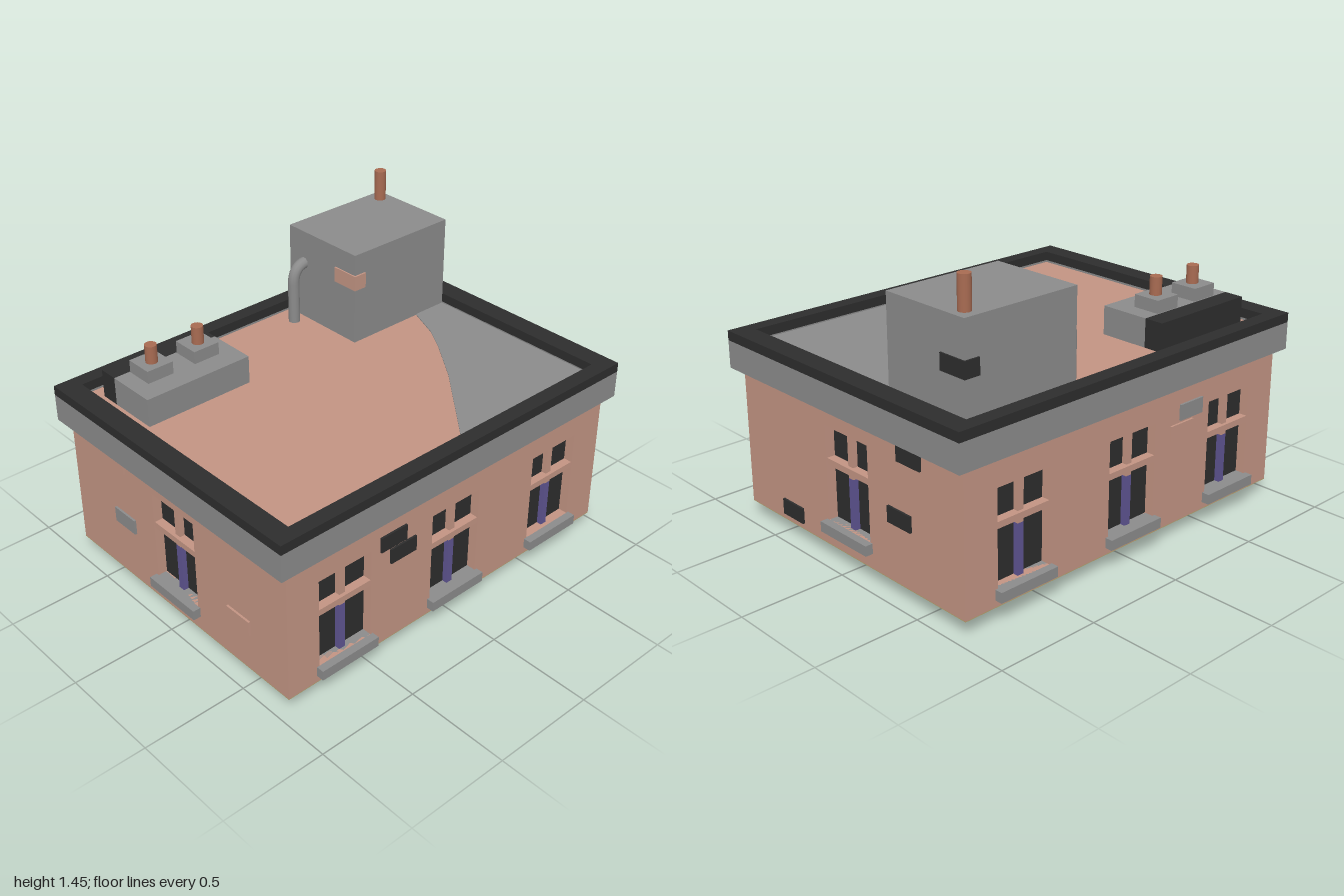
import * as THREE from 'three';

const paint = (name, color) => {
  const m = new THREE.MeshStandardMaterial({ color });
  m.name = name;
  return m;
};

export function createModel() {
  const pink = paint('pink plaster', 0xc29483);
  const gray = paint('gray concrete', 0x8b8b8b);
  const dark = paint('dark trim', 0x2d2d2d);
  const clay = paint('terracotta', 0xa86b52);
  const violet = paint('violet frame', 0x5e5491);
  const tan = paint('tan interior', 0xb5a468);
  const yellow = paint('yellow interior', 0xc9ab20);

  const model = new THREE.Group();
  model.name = 'building';

  const add = (parent, name, geo, mat) => {
    const mesh = new THREE.Mesh(geo, mat);
    mesh.name = name;
    parent.add(mesh);
    return mesh;
  };
  // Box given by its extents along each axis
  const box = (parent, name, mat, x0, x1, y0, y1, z0, z1) => {
    const mesh = add(parent, name, new THREE.BoxGeometry(x1 - x0, y1 - y0, z1 - z0), mat);
    mesh.position.set((x0 + x1) / 2, (y0 + y1) / 2, (z0 + z1) / 2);
    return mesh;
  };
  const rect = (Kind, x0, x1, y0, y1) => {
    const p = new Kind();
    p.moveTo(x0, y0).lineTo(x1, y0).lineTo(x1, y1).lineTo(x0, y1).closePath();
    return p;
  };
  const extrude = (shape, depth) => new THREE.ExtrudeGeometry(shape, { depth, bevelEnabled: false });
  // Flat rectangular ring lying at heights y0..y1
  const ring = (name, mat, ox, oz, ix, iz, y0, y1) => {
    const s = rect(THREE.Shape, -ox, ox, -oz, oz);
    s.holes.push(rect(THREE.Path, -ix, ix, -iz, iz));
    const mesh = add(model, name, extrude(s, y1 - y0), mat);
    mesh.rotation.x = -Math.PI / 2;
    mesh.position.y = y0;
  };

  const Y0 = 0.075, Y1 = 0.73, LAYER = 0.05;

  // One window: pane, frame bars and sill; the outer wall face is at local z = 0
  const addWindow = (wall, x, y) => {
    const g = new THREE.Group();
    g.name = 'window';
    g.position.set(x, y, 0);
    wall.add(g);
    box(g, 'pane', dark, -0.145, 0.145, 0, 0.445, -0.065, -0.045);
    box(g, 'upperMullion', pink, -0.016, 0.016, 0.235, 0.445, -0.045, -0.02);
    box(g, 'lowerMullion', violet, -0.016, 0.016, 0, 0.235, -0.045, -0.02);
    box(g, 'crossbar', pink, -0.147, 0.147, 0.26, 0.29, -0.045, -0.004);
    box(g, 'sill', gray, -0.157, 0.157, -0.048, 0, -0.15, 0.037);
  };

  // Wall of two layers with window openings; bricks are [x, y, material]
  const addWall = (name, turn, reach, half, windows, sillY, bricks, innerMat) => {
    const wall = new THREE.Group();
    wall.name = name;
    const pivot = new THREE.Group();
    pivot.name = name + 'Side';
    pivot.rotation.y = turn;
    wall.position.z = reach;
    pivot.add(wall);
    model.add(pivot);
    const layer = (label, h, mat, z) => {
      const s = rect(THREE.Shape, -h, h, Y0, Y1);
      for (const x of windows)
        s.holes.push(rect(THREE.Path, x - 0.143, x + 0.143, sillY, sillY + 0.44));
      add(wall, label, extrude(s, LAYER), mat).position.z = z;
    };
    layer('outerWall', half[0], pink, -LAYER);
    layer('innerWall', half[1], innerMat, -2 * LAYER);
    for (const x of windows) addWindow(wall, x, sillY);
    for (const [x, y, mat] of bricks)
      box(wall, 'brick', mat, x - 0.073, x + 0.073, y - 0.037, y + 0.037, -0.01, 0.01);
  };

  const LONG = [0.95, 0.9], SHORT = [0.688, 0.638];
  addWall('frontWall', 0, 0.738, LONG, [-0.64, 0, 0.635], 0.155,
    [[-0.375, 0.602, dark], [-0.318, 0.516, dark]], tan);
  addWall('backWall', Math.PI, 0.738, LONG, [-0.635, 0, 0.64], 0.155,
    [[0.37, 0.602, gray], [0.31, 0.516, pink]], tan);
  addWall('leftWall', Math.PI / 2, 0.95, SHORT, [0], 0.192,
    [[0.415, 0.67, dark], [0.347, 0.378, dark], [-0.405, 0.14, dark]], tan);
  addWall('rightWall', -Math.PI / 2, 0.95, SHORT, [0], 0.192,
    [[-0.41, 0.67, pink], [-0.36, 0.375, gray], [0.43, 0.3, pink]], yellow);
  ring('wallFooting', tan, 0.95, 0.738, 0.85, 0.638, Y0 - 0.003, Y0);

  // Interior partitions reaching the ground
  box(model, 'partition', gray, -0.305, -0.262, 0, Y1, -0.63, 0.64);
  box(model, 'partitionPanel', dark, -0.262, -0.256, 0, Y1, -0.63, -0.2);
  box(model, 'crossPartition', gray, -0.82, -0.305, 0, Y1, 0.07, 0.115);
  const broken = new THREE.Shape();
  broken.moveTo(-0.64, 0).lineTo(0.345, 0).lineTo(-0.12, 0.45).lineTo(-0.12, Y1).lineTo(-0.64, Y1).closePath();
  const slanted = add(model, 'slantedPartition', extrude(broken, 0.045), gray);
  slanted.rotation.y = Math.PI / 2;
  slanted.position.x = 0.255;

  // Cornice, parapet and roof
  ring('cornice', gray, 1, 0.773, 0.9, 0.7, Y1, 0.86);
  ring('parapetCap', dark, 1, 0.773, 0.9, 0.7, 0.86, 0.905);
  box(model, 'ceiling', gray, -0.9, 0.9, Y1, 0.8, -0.7, 0.7);
  box(model, 'roof', pink, -0.9, 0.9, 0.8, 0.85, -0.7, 0.7);
  const patch = new THREE.Shape([[0.72, 0.24], [0.65, 0.07], [0.57, -0.06], [0.42, -0.27], [0.1, -0.65],
    [0.07, -0.7], [0.9, -0.7], [0.9, 0.24]].map(([x, y]) => new THREE.Vector2(x, y)));
  const patchMesh = add(model, 'roofPatch', extrude(patch, 0.004), gray);
  patchMesh.rotation.x = -Math.PI / 2;
  patchMesh.position.y = 0.85;

  // Upright clay pipe, shaded smooth
  const pot = (x, z, y0, y1) => {
    const mesh = add(model, 'chimneyPot', new THREE.CylinderGeometry(0.028, 0.028, y1 - y0, 16), clay);
    mesh.position.set(x, (y0 + y1) / 2, z);
  };

  // Low chimney stack with two pots
  box(model, 'chimneyBase', gray, -0.835, -0.285, 0.85, 0.985, -0.535, -0.29);
  box(model, 'chimneyBack', dark, -0.835, -0.285, 0.85, 0.985, -0.63, -0.535);
  for (const x of [-0.687, -0.436]) {
    box(model, 'chimneyCap', gray, x - 0.067, x + 0.067, 0.985, 1.045, -0.53, -0.395);
    pot(x, -0.457, 1.045, 1.13);
  }

  // Roof house with corner bricks, pot and bent vent pipe
  box(model, 'roofHouse', gray, 0.31, 0.9, 0.85, 1.302, -0.695, -0.238);
  box(model, 'cornerBrick', dark, 0.83, 0.907, 1.063, 1.137, -0.703, -0.56);
  box(model, 'cornerBrick', pink, 0.302, 0.37, 1.127, 1.2, -0.37, -0.229);
  pot(0.84, -0.63, 1.302, 1.45);
  const bend = new THREE.CurvePath();
  const v = (x, y) => new THREE.Vector3(x, y, -0.595);
  bend.add(new THREE.LineCurve3(v(0.243, 0.85), v(0.243, 1.05)));
  bend.add(new THREE.QuadraticBezierCurve3(v(0.243, 1.05), v(0.243, 1.14), v(0.325, 1.14)));
  add(model, 'ventPipe', new THREE.TubeGeometry(bend, 32, 0.028, 12), gray);

  return model;
}
